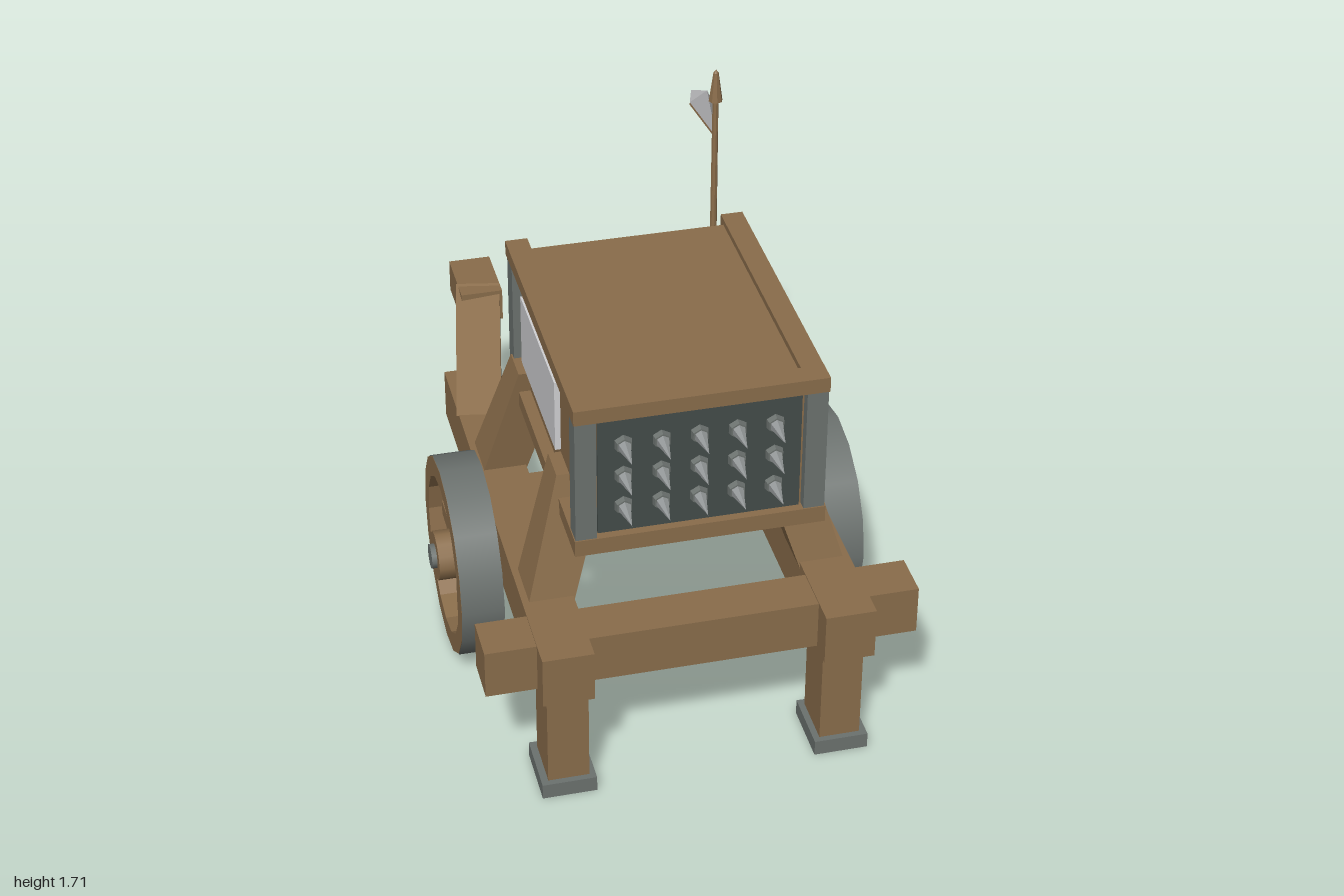
import * as THREE from 'three';

const mat = (name, color, opts = {}) => {
  const m = new THREE.MeshStandardMaterial({ color, ...opts });
  m.name = name;
  return m;
};

export function createModel() {
  const wood = mat('wood', 0x8a6d4b);
  const iron = mat('iron', 0x6c726f);
  const darkIron = mat('dark iron', 0x444c4a);
  const steel = mat('steel', 0x949899);
  const cloth = mat('pale cloth', 0xd2d2d4, { side: THREE.DoubleSide });
  const root = new THREE.Group();
  root.name = 'rammingCart';

  const add = (name, geo, material, parent = root) => {
    const m = new THREE.Mesh(geo, material);
    m.name = name;
    parent.add(m);
    return m;
  };
  // Box given by its extents on each axis
  const box = (name, [x0, x1], [y0, y1], [z0, z1], material = wood, parent = root) => {
    const g = new THREE.BoxGeometry(x1 - x0, y1 - y0, z1 - z0);
    g.translate((x0 + x1) / 2, (y0 + y1) / 2, (z0 + z1) / 2);
    return add(name, g, material, parent);
  };
  const side = (s, a, b) => (s > 0 ? [a, b] : [-b, -a]);
  // Leaning block: the box's top and bottom ends have their own extents
  const leaning = (name, low, high) => {
    const g = new THREE.BoxGeometry(1, 1, 1);
    const p = g.attributes.position;
    for (let i = 0; i < p.count; i++) {
      const e = p.getY(i) > 0 ? high : low;
      p.setXYZ(i, e.x[p.getX(i) > 0 ? 1 : 0], e.y, e.z[p.getZ(i) > 0 ? 1 : 0]);
    }
    g.computeVertexNormals();
    return add(name, g, wood);
  };
  // Straight beam between two points
  const beam = (name, a, b, w, h) => {
    const m = add(name, new THREE.BoxGeometry(w, h, a.distanceTo(b)), wood);
    m.position.copy(a).add(b).multiplyScalar(0.5);
    m.lookAt(b);
    return m;
  };

  // Chassis cross beams
  box('frontCrossBeam', [-0.68, 0.68], [0.395, 0.558], [0.77, 0.92]);
  box('axleBeam', [-0.4, 0.4], [0.4, 0.55], [0.03, 0.19]);

  for (const s of [1, -1]) {
    // Side rail, front leg and foot
    box('sideRail', side(s, 0.36, 0.52), [0.39, 0.562], [-0.6, 1]);
    box('frontLeg', side(s, 0.37, 0.5), [0.04, 0.4], [0.787, 0.953]);
    box('foot', side(s, 0.35, 0.522), [0, 0.052], [0.765, 0.973], iron);

    // Struts carrying the box
    const lowX = side(s, 0.36, 0.505), highX = side(s, 0.23, 0.388);
    leaning('frontStrut', { x: lowX, y: 0.54, z: [0.54, 0.715] }, { x: highX, y: 0.955, z: [0.498, 0.617] });
    leaning('rearStrut', { x: lowX, y: 0.54, z: [-0.17, -0.005] }, { x: highX, y: 0.955, z: [-0.068, 0.055] });

    // Push handle
    beam('handleArm', new THREE.Vector3(0.45 * s, 0.5, -0.34), new THREE.Vector3(0.35 * s, 0.695, -0.85), 0.15, 0.13);
    box('handleGrip', side(s, 0.28, 0.422), [0.638, 0.752], [-1, -0.77]);
  }

  // Wheels
  const ring = new THREE.Shape();
  const hole = new THREE.Path();
  for (let i = 0; i < 16; i++) {
    const a = (i / 16) * Math.PI * 2, c = Math.cos(a), d = Math.sin(a);
    ring[i ? 'lineTo' : 'moveTo'](0.327 * c, 0.327 * d);
    hole[i ? 'lineTo' : 'moveTo'](0.262 * c, -0.262 * d);
  }
  ring.holes.push(hole);
  const rimGeo = new THREE.ExtrudeGeometry(ring, { depth: 0.138, bevelEnabled: false });
  rimGeo.translate(0, 0, -0.069).rotateY(Math.PI / 2);
  const disc = (r, len, n, open = false) => new THREE.CylinderGeometry(r, r, len, n, 1, open).rotateZ(Math.PI / 2);
  for (const s of [1, -1]) {
    const wheel = new THREE.Group();
    wheel.name = 'wheel';
    wheel.position.set(0.594 * s, 0.33, 0.108);
    add('rim', rimGeo, wood, wheel);
    add('tyre', disc(0.33, 0.138, 16, true), iron, wheel);
    add('hub', disc(0.082, 0.19, 12), wood, wheel);
    add('hubCap', disc(0.042, 0.05, 10), iron, wheel).position.x = 0.087 * s;
    for (let i = 0; i < 8; i++) {
      const g = new THREE.BoxGeometry(0.05, 0.2, 0.055).translate(0, 0.17, 0);
      add('spoke', g, wood, wheel).rotation.x = (i * Math.PI) / 4;
    }
    root.add(wheel);
  }

  // Box body and its frame
  box('boxBody', [-0.348, 0.348], [0.845, 1.325], [-0.09, 0.825]);
  for (const s of [1, -1]) {
    box('topSideRail', side(s, 0.315, 0.386), [1.298, 1.345], [-0.122, 0.86]);
    box('bottomSideRail', side(s, 0.315, 0.386), [0.828, 0.882], [-0.122, 0.86]);
    box('frontPost', side(s, 0.318, 0.383), [0.88, 1.3], [0.788, 0.857], iron);
    box('rearPost', side(s, 0.325, 0.383), [0.88, 1.3], [-0.11, -0.04], iron);
    box('sidePanel', side(s, 0.345, 0.366), [0.965, 1.21], [0, 0.5], cloth);
  }
  box('topFrontRail', [-0.386, 0.386], [1.297, 1.346], [0.79, 0.861]);
  box('bottomFrontRail', [-0.386, 0.386], [0.827, 0.882], [0.79, 0.861]);
  box('frontPlate', [-0.31, 0.31], [0.88, 1.287], [0.8, 0.834], darkIron);

  // Spikes on the front plate
  for (let r = 0; r < 3; r++) {
    for (let c = 0; c < 5; c++) {
      const spike = new THREE.Group();
      spike.name = 'spike';
      spike.position.set((c - 2) * 0.115 - 0.002, 0.975 + r * 0.11, 0.83);
      const nut = new THREE.CylinderGeometry(0.026, 0.032, 0.024, 6).rotateX(Math.PI / 2).toNonIndexed();
      nut.computeVertexNormals();
      add('spikeBase', nut, iron, spike).position.z = 0.01;
      const tip = new THREE.ConeGeometry(0.022, 0.1, 6).rotateX(Math.PI / 2).toNonIndexed();
      tip.computeVertexNormals();
      add('spikeTip', tip, steel, spike).position.z = 0.066;
      root.add(spike);
    }
  }

  // Flag pole with pointed finial
  const pole = new THREE.Group();
  pole.name = 'flagPole';
  pole.position.set(0.369, 0, -0.406);
  root.add(pole);
  const turned = [[0, 0.695], [0.016, 0.695], [0.016, 0.99], [0.012, 0.995], [0.01, 1.595], [0.023, 1.6], [0.009, 1.7], [0, 1.712]];
  const poleGeo = new THREE.LatheGeometry(turned.map(([x, y]) => new THREE.Vector2(x, y)), 8).toNonIndexed();
  poleGeo.computeVertexNormals();
  add('pole', poleGeo, wood, pole);

  // Bent flag: columns of top and bottom points, with a wooden-coloured hem
  const columns = [
    [[0, 1.575, -0.01], [0.008, 1.38, -0.01]],
    [[0.012, 1.557, -0.15], [0.045, 1.38, -0.15]],
    [[-0.016, 1.51, -0.249], [-0.02, 1.465, -0.249]],
  ];
  const strip = (cols) => {
    const g = new THREE.BufferGeometry();
    const pts = [];
    for (let i = 0; i < cols.length - 1; i++) {
      const [a, b] = cols[i], [c, d] = cols[i + 1];
      pts.push(...a, ...b, ...d, ...a, ...d, ...c);
    }
    g.setAttribute('position', new THREE.Float32BufferAttribute(pts, 3));
    g.computeVertexNormals();
    return g;
  };
  add('flag', strip(columns), cloth, pole);
  const hem = wood.clone();
  hem.name = 'hem wood';
  hem.side = THREE.DoubleSide;
  add('flagHem', strip(columns.map(([, b]) => [b, [b[0], b[1] - 0.01, b[2]]])), hem, pole);

  return root;
}
